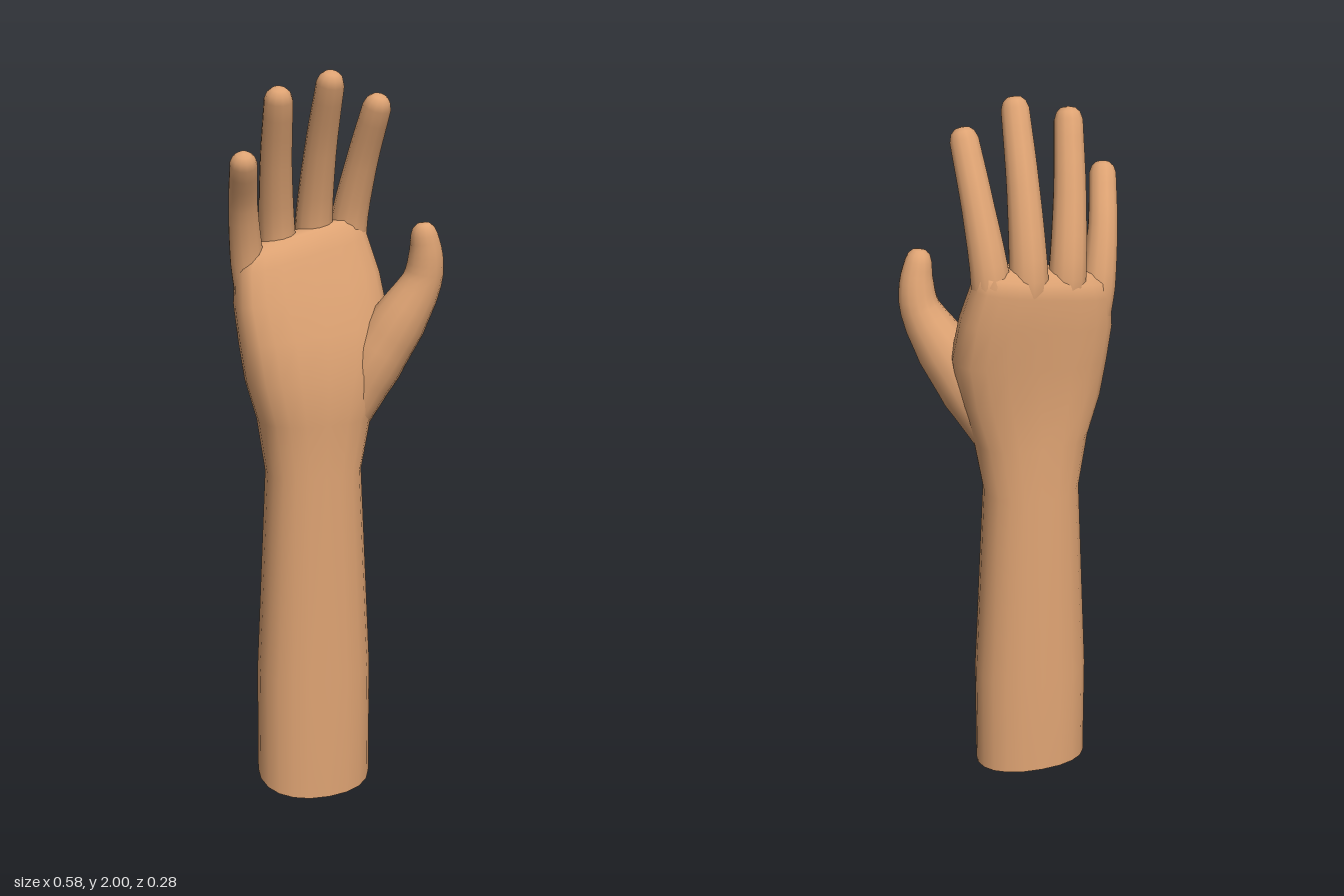
import * as THREE from 'three';

// Skins a stack of rings (arrays of Vector3) with smooth normals; the last ring closes to a point.
function skin(rings, tip) {
  const n = rings[0].length, pos = [], idx = [];
  rings.forEach(r => r.forEach(p => pos.push(p.x, p.y, p.z)));
  for (let k = 0; k < rings.length - 1; k++) {
    for (let i = 0; i < n; i++) {
      const a = k * n + i, b = k * n + (i + 1) % n;
      idx.push(a, a + n, b, b, a + n, b + n);
    }
  }
  const last = (rings.length - 1) * n;
  pos.push(tip.x, tip.y, tip.z);
  for (let i = 0; i < n; i++) idx.push(last + i, last + n, last + (i + 1) % n);
  const g = new THREE.BufferGeometry();
  g.setAttribute('position', new THREE.Float32BufferAttribute(pos, 3));
  g.setIndex(idx);
  g.computeVertexNormals();
  return g;
}

// Horizontal rounded section; skew slants it across the knuckles.
function section([y, xl, xr, zb, zf, power, skew], n = 20) {
  const cx = (xl + xr) / 2, cz = (zb + zf) / 2, ring = [];
  const soft = v => Math.sign(v) * Math.abs(v) ** power;
  for (let i = 0; i < n; i++) {
    const t = (i / n) * Math.PI * 2;
    const dx = soft(Math.cos(t)) * (xr - xl) / 2;
    const dz = soft(Math.sin(t)) * (zf - zb) / 2;
    ring.push(new THREE.Vector3(cx + dx, y + dx * 0.2 * skew, cz + dz - dx * 0.16 * skew));
  }
  return ring;
}

// Tapered digit following [x, y, z, radius] points, with a rounded tip.
function digit(points, n = 12, steps = 12) {
  const curve = new THREE.CatmullRomCurve3(points.map(p => new THREE.Vector3(p[0], p[1], p[2])));
  const rings = [];
  const ringAt = (c, t, r) => {
    const u = new THREE.Vector3(1, 0, 0).addScaledVector(t, -t.x).normalize();
    const v = u.clone().cross(t);
    const ring = [];
    for (let i = 0; i < n; i++) {
      const a = (i / n) * Math.PI * 2;
      ring.push(c.clone().addScaledVector(u, Math.cos(a) * r).addScaledVector(v, Math.sin(a) * r));
    }
    rings.push(ring);
  };
  for (let s = 0; s <= steps; s++) {
    const f = s / steps, q = f * (points.length - 1);
    const k = Math.min(Math.floor(q), points.length - 2);
    ringAt(curve.getPoint(f), curve.getTangent(f),
      THREE.MathUtils.lerp(points[k][3], points[k + 1][3], q - k));
  }
  const end = curve.getPoint(1), dir = curve.getTangent(1), r = points[points.length - 1][3];
  ringAt(end.clone().addScaledVector(dir, r * 0.5), dir, r * 0.82);
  ringAt(end.clone().addScaledVector(dir, r * 0.8), dir, r * 0.5);
  return skin(rings, end.clone().addScaledVector(dir, r * 0.9));
}

export function createModel() {
  const group = new THREE.Group();
  const skinTone = new THREE.MeshStandardMaterial({ color: 0xdea373 });
  skinTone.name = 'skin';
  const add = (name, geometry) => {
    const mesh = new THREE.Mesh(geometry, skinTone);
    mesh.name = name;
    group.add(mesh);
  };

  // Forearm, wrist and palm: y, left x, right x, back z, front z, squareness, slant
  const rings = [
    [0.00, -0.20, 0.12, -0.14, 0.11, 0.9, 0],
    [0.35, -0.20, 0.12, -0.135, 0.11, 0.9, 0],
    [0.93, -0.175, 0.09, -0.11, 0.10, 0.9, 0],
    [1.08, -0.20, 0.115, -0.105, 0.11, 0.85, 0],
    [1.20, -0.235, 0.155, -0.105, 0.11, 0.8, 0.2],
    [1.32, -0.25, 0.18, -0.115, 0.085, 0.75, 0.5],
    [1.43, -0.258, 0.165, -0.125, 0.05, 0.7, 0.8],
    [1.52, -0.25, 0.14, -0.13, 0.02, 0.7, 1],
    [1.56, -0.235, 0.13, -0.125, 0.0, 0.7, 1],
    [1.58, -0.20, 0.11, -0.10, -0.02, 0.7, 1],
  ].map(r => section(r));
  // The cut end slopes up toward the back
  rings[0].forEach(p => { p.y = (0.11 - p.z) * 0.22; });
  add('forearmAndPalm', skin(rings, new THREE.Vector3(-0.045, 1.585, -0.06)));

  // Flat cap on the cut end
  const cap = rings[0];
  const capGeometry = new THREE.BufferGeometry().setFromPoints(cap);
  const fan = [];
  for (let i = 1; i < cap.length - 1; i++) fan.push(0, i, i + 1);
  capGeometry.setIndex(fan);
  capGeometry.computeVertexNormals();
  add('forearmEnd', capGeometry);

  // Fingers curl forward from the knuckles
  const fingers = {
    indexFinger: [[0.085, 1.45, -0.07, 0.05], [0.09, 1.57, -0.085, 0.052], [0.107, 1.75, -0.035, 0.043], [0.122, 1.905, 0.035, 0.038]],
    middleFinger: [[-0.01, 1.45, -0.07, 0.05], [-0.01, 1.57, -0.085, 0.052], [-0.013, 1.79, -0.025, 0.043], [-0.015, 1.968, 0.052, 0.037]],
    ringFinger: [[-0.115, 1.44, -0.05, 0.05], [-0.12, 1.56, -0.065, 0.05], [-0.14, 1.76, -0.015, 0.043], [-0.155, 1.93, 0.05, 0.038]],
    littleFinger: [[-0.2, 1.38, -0.03, 0.045], [-0.215, 1.51, -0.035, 0.046], [-0.238, 1.66, 0.005, 0.039], [-0.257, 1.775, 0.07, 0.036]],
  };
  for (const name in fingers) add(name, digit(fingers[name]));

  // Thumb with its fleshy base
  add('thumb', digit([
    [0.05, 1.08, 0.02, 0.06], [0.115, 1.22, 0.035, 0.08], [0.18, 1.34, 0.06, 0.075],
    [0.235, 1.45, 0.085, 0.054], [0.24, 1.52, 0.095, 0.046], [0.232, 1.575, 0.1, 0.036],
  ], 14, 15));

  return group;
}
